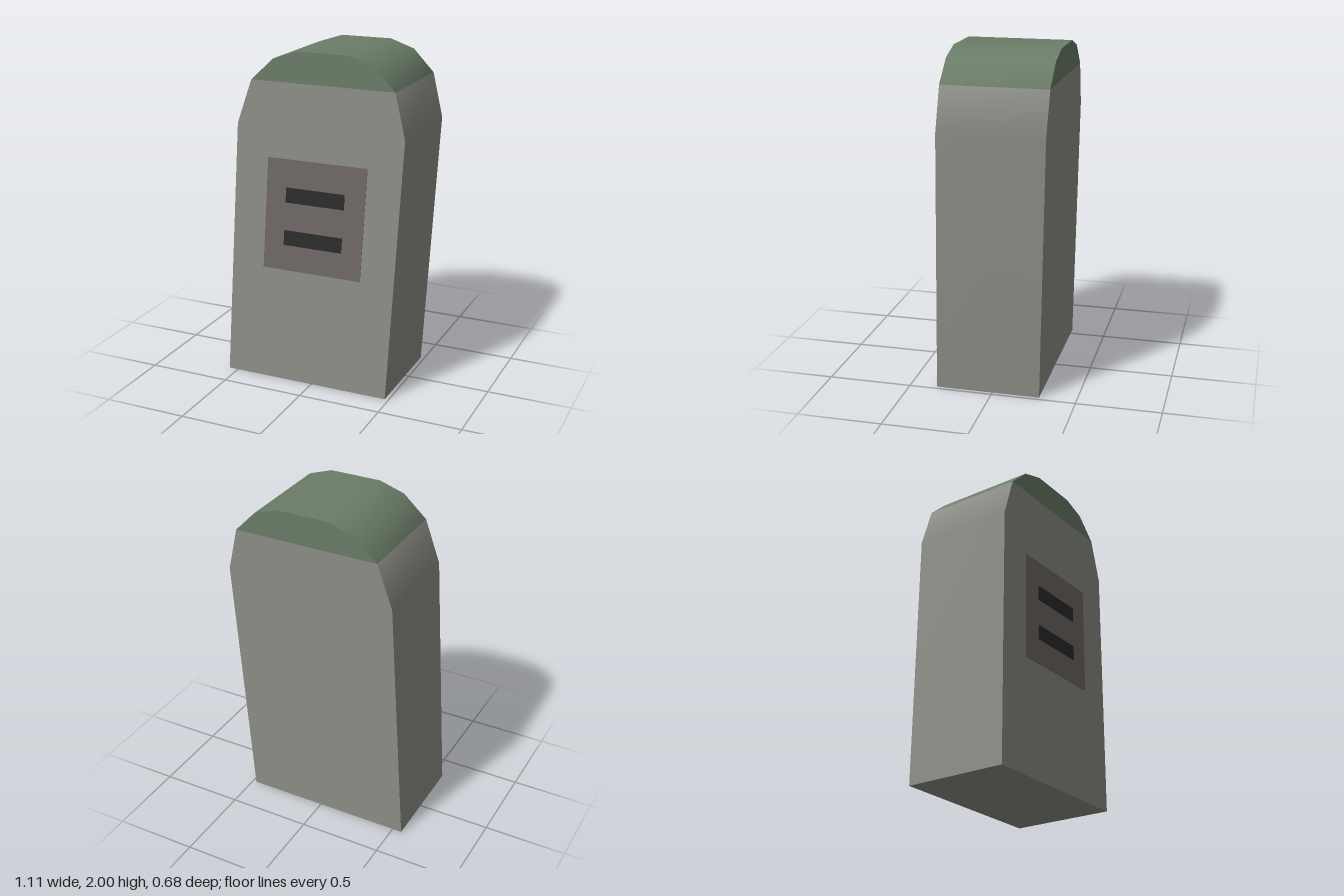
import * as THREE from 'three';

const mat = (name, color) => Object.assign(new THREE.MeshStandardMaterial({ color }), { name });

export function createModel() {
  const group = new THREE.Group();
  group.name = 'headstone';
  const stone = mat('grey stone', 0x8f8f89);
  const moss = mat('moss green', 0x6b7d68);
  const plate = mat('dull brown plate', 0x706a68);
  const ink = mat('dark inscription', 0x2d2d2d);

  // The upright stone leans to its left and backwards, with level base and top
  const lean = new THREE.Matrix4().set(
    1, 0.0508, 0, -0.041,
    0, 1, 0, 0,
    0, -0.0285, 1, 0.029,
    0, 0, 0, 1);
  const half = 0.31;

  function add(name, geometry, material) {
    geometry.applyMatrix4(lean);
    geometry.computeVertexNormals();
    const mesh = new THREE.Mesh(geometry, material);
    mesh.name = name;
    group.add(mesh);
  }

  // Right half of the outline, mirrored to run over the top
  const side = [[0.517, 0], [0.517, 1.56], [0.44, 1.82], [0.307, 1.95], [0.158, 2]];
  const mirror = (pts) => [...pts, ...pts.map(([x, y]) => [-x, y]).reverse()];
  const outline = mirror(side);

  // Rim around sides and top, smooth along the curve, coloured per segment
  const positions = [], index = [];
  const rim = new THREE.BufferGeometry();
  outline.forEach(([x, y]) => positions.push(x, y, half, x, y, -half));
  for (let i = 0; i < outline.length - 1; i++) {
    const f = 2 * i, b = f + 1;
    index.push(f, b, b + 2, f, b + 2, f + 2);
    const mossy = Math.min(outline[i][1], outline[i + 1][1]) > 1.8;
    rim.addGroup(6 * i, 6, mossy ? 1 : 0);
  }
  rim.setAttribute('position', new THREE.Float32BufferAttribute(positions, 3));
  rim.setIndex(index);
  add('rim', rim, [stone, moss]);

  // Flat front and back, split where the moss begins
  const face = (pts) => new THREE.ShapeGeometry(
    new THREE.Shape(mirror(pts).map(([x, y]) => new THREE.Vector2(x, y))));
  for (const [label, turn, z] of [['front', 0, half], ['back', Math.PI, -half]]) {
    add(label + 'Face', face(side.slice(0, 3)).rotateY(turn).translate(0, 0, z), stone);
    add(label + 'MossCap', face(side.slice(2)).rotateY(turn).translate(0, 0, z), moss);
  }
  add('base', new THREE.PlaneGeometry(1.034, 2 * half).rotateX(Math.PI / 2), stone);

  // Inset plate with two inscription bars
  add('plate', new THREE.BoxGeometry(0.62, 0.675, 0.004).translate(0, 1.04, half + 0.001), plate);
  for (const y of [0.905, 1.165]) {
    add('inscriptionBar', new THREE.BoxGeometry(0.366, 0.09, 0.006).translate(0, y, half + 0.005), ink);
  }
  return group;
}
